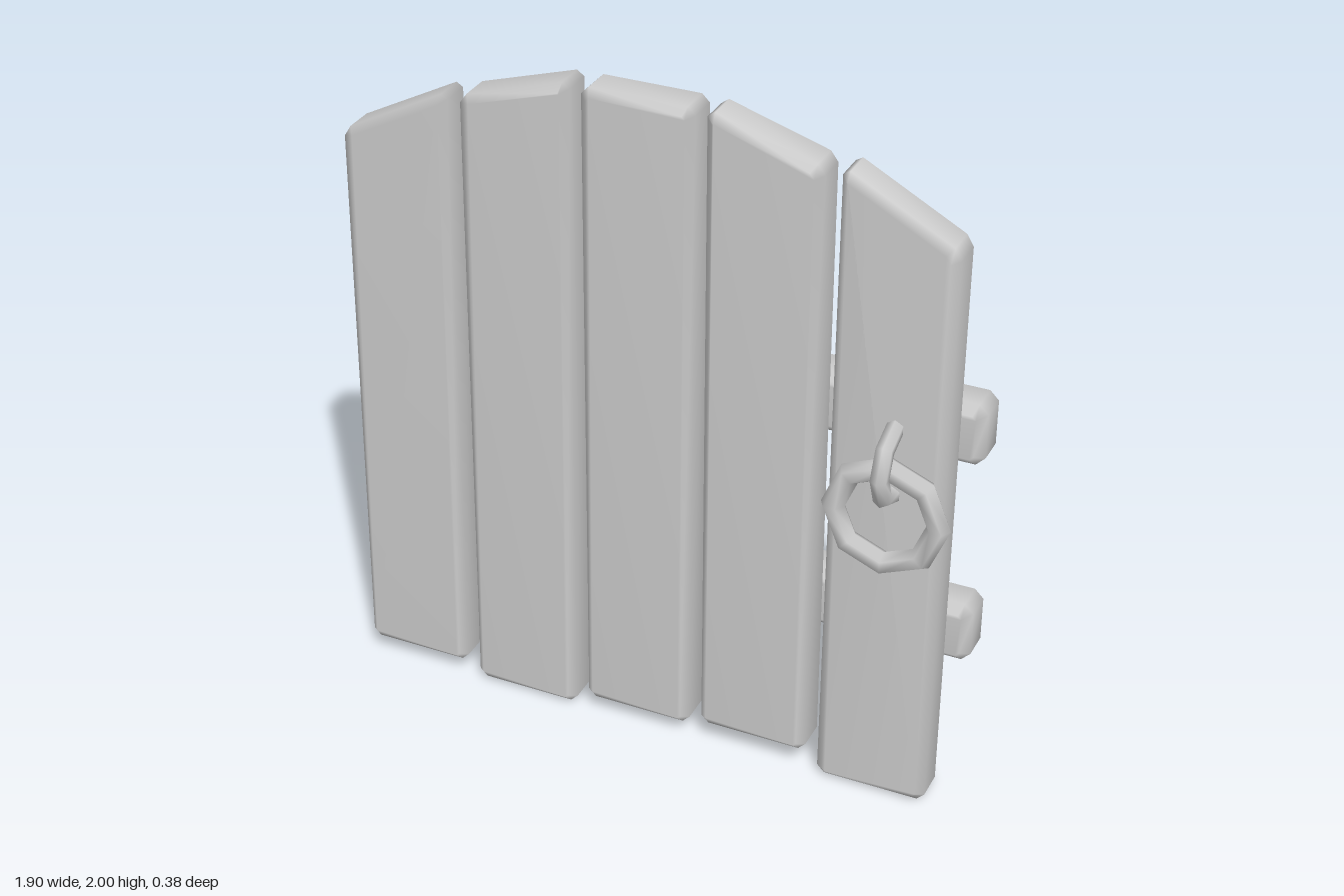
import * as THREE from 'three';
import { mergeVertices } from 'three/addons/utils/BufferGeometryUtils.js';

const material = new THREE.MeshStandardMaterial({ color: 0xcccccc });

// Slab with a polygon outline, clipped corners and chamfered edges, smooth shaded
function board(name, corners, zBack, zFront, chamfer = 0.022) {
  const pts = corners.map(([x, y]) => new THREE.Vector2(x, y));
  const n = pts.length;
  const outline = [];
  pts.forEach((p, i) => {
    for (const q of [pts[(i + n - 1) % n], pts[(i + 1) % n]]) {
      outline.push(q.clone().sub(p).setLength(chamfer).add(p));
    }
  });
  let geo = new THREE.ExtrudeGeometry(new THREE.Shape(outline), {
    depth: zFront - zBack - 2 * chamfer,
    bevelEnabled: true,
    bevelSegments: 1,
    bevelSize: chamfer,
    bevelThickness: chamfer,
    bevelOffset: -chamfer,
  });
  geo.translate(0, 0, zBack + chamfer);
  geo.deleteAttribute('uv');
  geo.deleteAttribute('normal');
  geo = mergeVertices(geo, 1e-4);
  geo.computeVertexNormals();
  const mesh = new THREE.Mesh(geo, material);
  mesh.name = name;
  return mesh;
}

export function createModel() {
  const group = new THREE.Group();
  group.name = 'plankDoor';

  // Upright planks: left x, bottom y, top y at each side, sideways lean
  const width = 0.325;
  const planks = [
    [-0.893, 0.04, 1.735, 1.905, 0.005],
    [-0.53, 0.0, 1.905, 2.005, 0.005],
    [-0.167, 0.04, 2.0, 2.0, 0],
    [0.195, 0.06, 2.005, 1.905, -0.005],
    [0.558, 0.0, 1.92, 1.745, 0.004],
  ];
  planks.forEach(([x, y, topA, topB, lean], i) => {
    group.add(board(`plank${i + 1}`, [
      [x, y], [x + width, y], [x + width + lean, topB], [x + lean, topA],
    ], -0.07, 0.062));
  });

  // Cross battens on the back
  [['lowerBatten', 0.427, 0.612], ['upperBatten', 1.065, 1.25]].forEach(([name, y0, y1]) => {
    group.add(board(name, [[-0.95, y0], [0.95, y0], [0.95, y1], [-0.95, y1]], -0.19, -0.055, 0.026));
  });

  // Pull ring
  const ring = new THREE.Mesh(new THREE.TorusGeometry(0.149, 0.034, 6, 8), material);
  ring.name = 'pullRing';
  ring.position.set(0.743, 0.96, 0.1);
  group.add(ring);

  // Half-loop staple that holds the ring
  const stapleGeo = new THREE.TorusGeometry(0.103, 0.026, 6, 4, Math.PI);
  stapleGeo.rotateZ(-Math.PI / 2).rotateY(-Math.PI / 2);
  const staple = new THREE.Mesh(stapleGeo, material);
  staple.name = 'ringStaple';
  staple.position.set(0.743, 1.107, 0.06);
  group.add(staple);

  return group;
}
